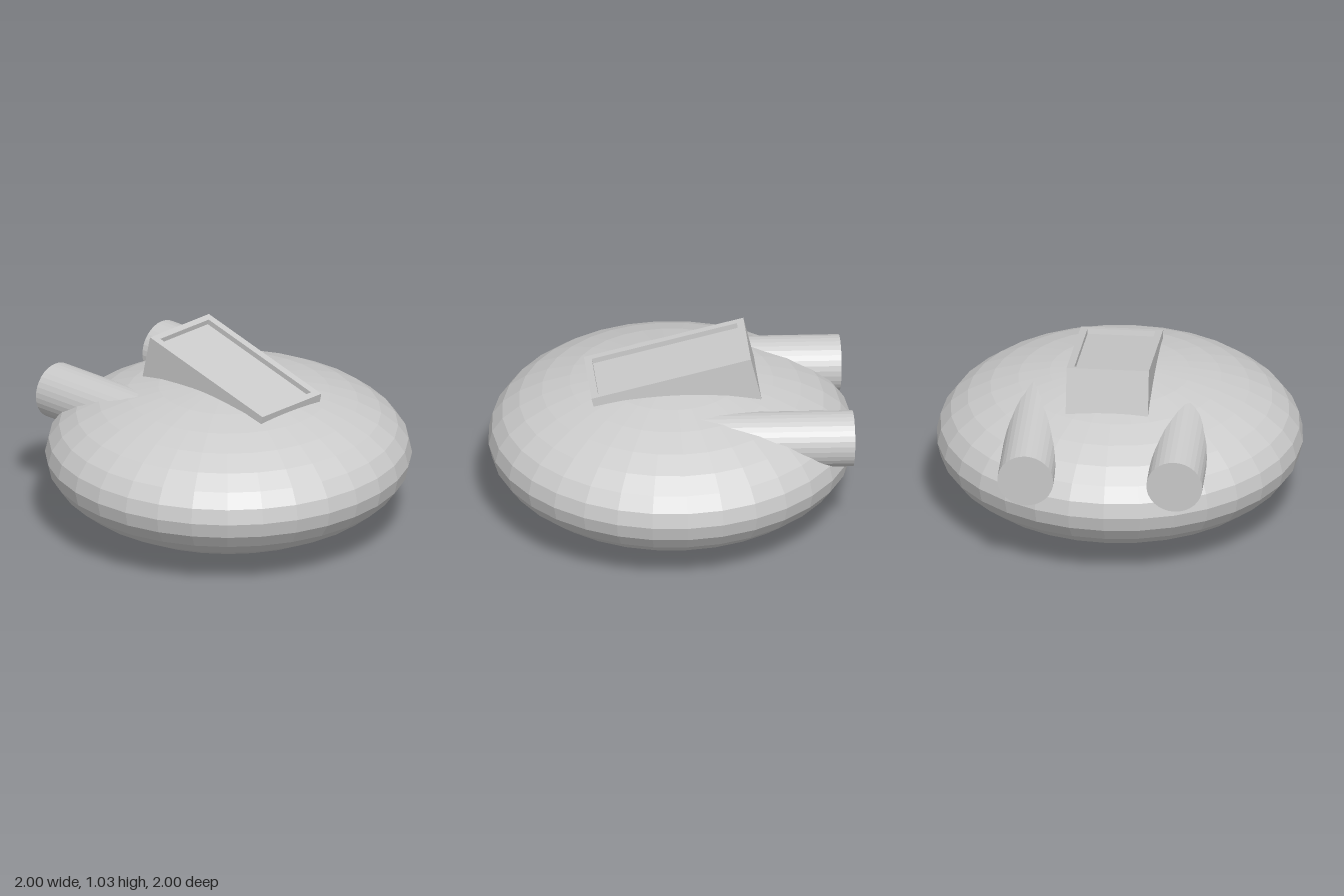
import * as THREE from 'three';

const material = new THREE.MeshStandardMaterial({ color: 0xcccccc, flatShading: true });

function addMesh(parent, name, geometry) {
  const mesh = new THREE.Mesh(geometry, material);
  mesh.name = name;
  parent.add(mesh);
  return mesh;
}

// Counter-clockwise rectangle points centred on the origin
function rectangle(w, h) {
  return [[-1, -1], [1, -1], [1, 1], [-1, 1]].map(([x, y]) => new THREE.Vector2(x * w / 2, y * h / 2));
}

export function createModel() {
  const model = new THREE.Group();
  model.name = 'saucerCraft';

  // Flattened faceted hull
  const hull = addMesh(model, 'hull', new THREE.SphereGeometry(1, 32, 16));
  hull.scale.y = 0.422;
  hull.position.y = 0.424;

  // Tilted box sunk into the top of the hull, with a recessed panel
  const width = 0.45, length = 0.895, depth = 0.26, rim = 0.04, recess = 0.03;
  const panel = new THREE.Group();
  panel.name = 'tiltedPanel';
  panel.position.set(0.03, 0.934, 0.025);
  panel.rotation.x = THREE.MathUtils.degToRad(13);
  model.add(panel);

  const frame = new THREE.Shape(rectangle(width, length));
  frame.holes.push(new THREE.Path(rectangle(width - 2 * rim, length - 2 * rim).reverse()));
  const frameGeometry = new THREE.ExtrudeGeometry(frame, { depth: recess, bevelEnabled: false });
  frameGeometry.rotateX(-Math.PI / 2);
  addMesh(panel, 'panelFrame', frameGeometry).position.y = -recess;

  const base = addMesh(panel, 'panelBase', new THREE.BoxGeometry(width, depth - recess, length));
  base.position.y = -(depth + recess) / 2;

  // Two rear thrusters, dipping slightly toward the back
  const dip = THREE.MathUtils.degToRad(2), thrusterLength = 0.85;
  const axis = new THREE.Vector3(0, -Math.sin(dip), -Math.cos(dip));
  for (const [name, x] of [['rightThruster', -0.383], ['leftThruster', 0.432]]) {
    const thruster = addMesh(model, name, new THREE.CylinderGeometry(0.153, 0.153, thrusterLength, 32));
    thruster.rotation.x = -Math.PI / 2 - dip;
    thruster.position.set(x, 0.613, -0.951).addScaledVector(axis, -thrusterLength / 2);
  }

  return model;
}
